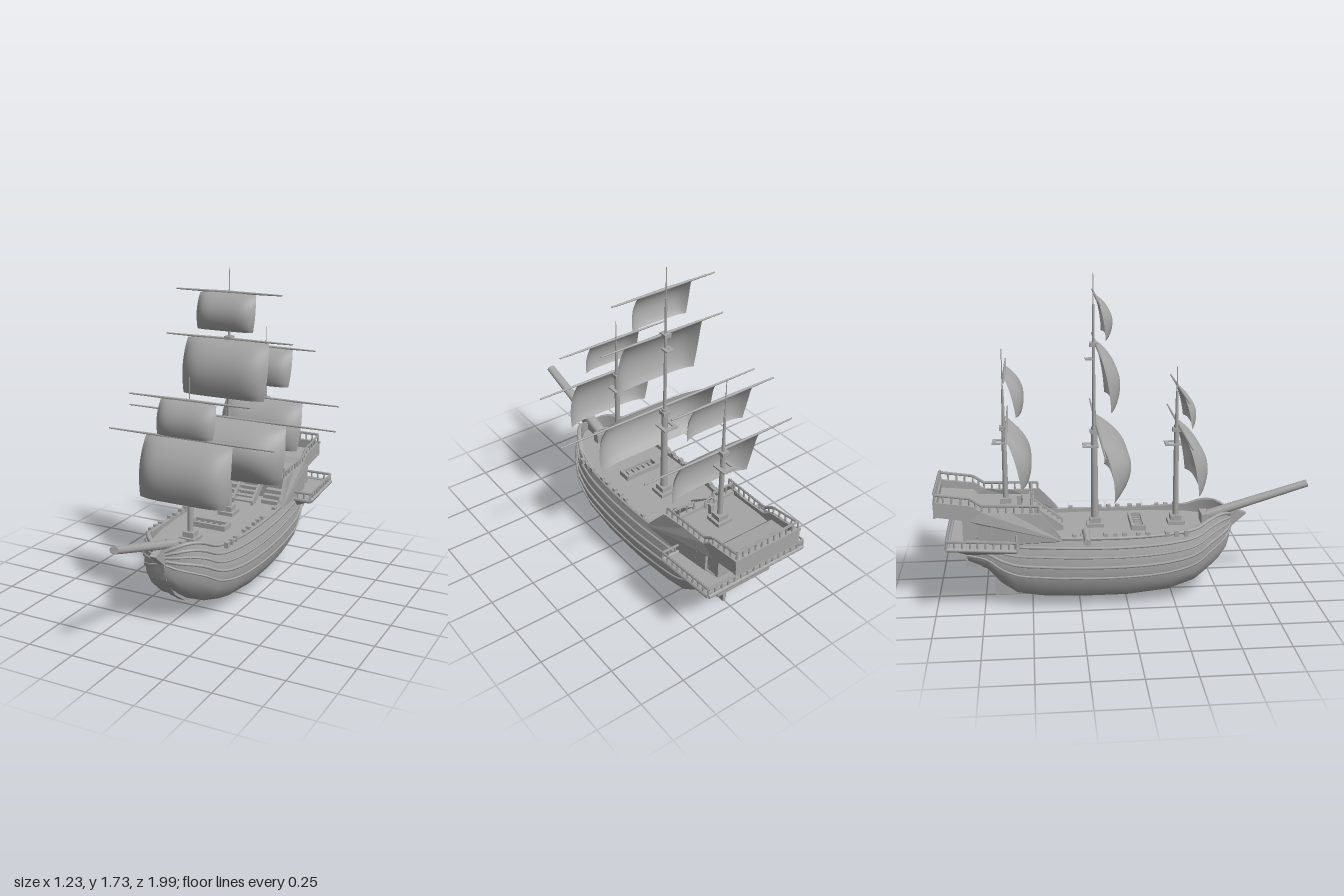
import * as THREE from 'three';
import { toCreasedNormals } from 'three/addons/utils/BufferGeometryUtils.js';

const grey = new THREE.MeshStandardMaterial({ color: 0xa6a6a6, side: THREE.DoubleSide });
grey.name = 'weathered grey';

// Hull stations from bow to stern: z, keel height, rail height, half width
const STATIONS = [
  [0.57, 0.30, 0.43, 0.02], [0.545, 0.245, 0.455, 0.08], [0.5, 0.195, 0.47, 0.135],
  [0.44, 0.15, 0.46, 0.18], [0.36, 0.095, 0.425, 0.22], [0.22, 0.052, 0.41, 0.25],
  [0, 0.032, 0.402, 0.264], [-0.25, 0.032, 0.405, 0.264], [-0.45, 0.04, 0.41, 0.25],
  [-0.58, 0.06, 0.41, 0.235], [-0.66, 0.115, 0.41, 0.22], [-0.73, 0.2, 0.41, 0.208],
  [-0.83, 0.24, 0.41, 0.195],
];
// Cross-section: fraction of half width, fraction of height
const SECTION = [[0, 0], [0.55, 0.025], [0.78, 0.11], [0.93, 0.27], [1, 0.48], [0.98, 0.7], [0.92, 0.87], [0.87, 1]];

function hullPoint(station, t, out = 0) {
  const [z, yk, yt, w] = station;
  const i = Math.max(1, SECTION.findIndex((p) => p[1] >= t));
  const [a, b] = [SECTION[i - 1], SECTION[i]];
  const f = THREE.MathUtils.lerp(a[0], b[0], (t - a[1]) / (b[1] - a[1]));
  return new THREE.Vector3(f * w + out, yk + t * (yt - yk), z);
}

function hullGeometry() {
  const pos = [], index = [];
  let n = 0;
  STATIONS.forEach(([z, yk, yt, w]) => {
    const side = SECTION.map(([a, b]) => [a * w, yk + b * (yt - yk)]);
    const inner = Math.max(0, 0.87 * w - 0.015), deck = Math.min(yt - 0.015, 0.385);
    side.push([inner, yt], [inner, deck], [0, deck]);
    const ring = [...side.slice(1).reverse().map(([x, y]) => [-x, y]), ...side];
    n = ring.length;
    ring.forEach(([x, y]) => pos.push(x, y, z));
  });
  for (let i = 0; i < STATIONS.length - 1; i++)
    for (let j = 0; j < n - 1; j++) {
      const a = i * n + j, c = a + n;
      index.push(a, c, a + 1, a + 1, c, c + 1);
    }
  const last = (STATIONS.length - 1) * n;
  for (let k = 1; k < n - 1; k++) index.push(0, k, k + 1, last, last + k + 1, last + k);
  const g = new THREE.BufferGeometry();
  g.setAttribute('position', new THREE.Float32BufferAttribute(pos, 3));
  g.setIndex(index);
  return toCreasedNormals(g, 0.6);
}

// Side profile given as [z, y], extruded across x
function profile(points, width, x = 0) {
  const shape = new THREE.Shape(points.map(([z, y]) => new THREE.Vector2(z, y)));
  const g = new THREE.ExtrudeGeometry(shape, { depth: width, bevelEnabled: false });
  return g.rotateY(-Math.PI / 2).translate(x + width / 2, 0, 0);
}

export function createModel() {
  const model = new THREE.Group();
  model.name = 'sailingShip';
  let parent = model;
  const add = (name, geo, x = 0, y = 0, z = 0) => {
    const m = new THREE.Mesh(geo, grey);
    m.name = name;
    m.position.set(x, y, z);
    parent.add(m);
    return m;
  };
  const box = (name, w, h, d, x, y, z) => add(name, new THREE.BoxGeometry(w, h, d), x, y, z);
  const rod = (name, a, b, r0, r1 = r0, sides = 8) => {
    const [p, q] = [new THREE.Vector3(...a), new THREE.Vector3(...b)];
    const m = add(name, new THREE.CylinderGeometry(r1, r0, p.distanceTo(q), sides));
    m.position.copy(p).lerp(q, 0.5);
    m.quaternion.setFromUnitVectors(new THREE.Vector3(0, 1, 0), q.sub(p).normalize());
    return m;
  };
  // Balustrade along a path of floor points
  const rail = (name, pts, h, gap = 0.04) => {
    for (let i = 0; i < pts.length - 1; i++) {
      const a = new THREE.Vector3(...pts[i]), b = new THREE.Vector3(...pts[i + 1]);
      rod(name + 'Bar', [a.x, a.y + h, a.z], [b.x, b.y + h, b.z], 0.008, 0.008, 4);
      const n = Math.max(1, Math.round(a.distanceTo(b) / gap));
      for (let k = 0; k <= n; k++) {
        const p = a.clone().lerp(b, k / n);
        rod(name + 'Post', [p.x, p.y, p.z], [p.x, p.y + h, p.z], 0.005, 0.005, 6);
      }
    }
  };

  // Hull, wales, stem, keel and rudder
  add('hull', hullGeometry());
  for (const s of [-1, 1])
    for (const [t, r] of [[0.42, 0.006], [0.58, 0.008], [0.72, 0.006], [0.85, 0.008], [0.98, 0.009]]) {
      const pts = STATIONS.map((st) => hullPoint(st, t, 0.001).multiply(new THREE.Vector3(s, 1, 1)));
      add('wale', new THREE.TubeGeometry(new THREE.CatmullRomCurve3(pts), 48, r, 6));
    }
  add('keel', profile([[0.66, 0.43], [0.58, 0.36], [0.56, 0.27], [0.47, 0.155], [0.37, 0.085], [0.23, 0.037], [0, 0.02],
    [-0.2, 0.02], [-0.58, 0.045], [-0.58, 0.08], [0, 0.06], [0.23, 0.08], [0.4, 0.16], [0.5, 0.3], [0.5, 0.46], [0.58, 0.46]], 0.035));
  add('rudder', profile([[-0.15, 0.018], [-0.7, 0.004], [-0.7, 0.125], [-0.68, 0.15], [-0.69, 0.22], [-0.72, 0.24],
    [-0.66, 0.24], [-0.6, 0.05]], 0.02));
  const sprit = rod('bowsprit', [0, 0.425, 0.45], [0, 0.585, 0.99], 0.034, 0.026, 8);
  sprit.scale.z = 0.75;
  box('bowspritBitt', 0.1, 0.06, 0.04, 0, 0.41, 0.43);

  // Raised blocks along the bulwark
  for (const s of [-1, 1])
    for (const z of [0.3, 0.25, 0.2, 0.1, 0.05, -0.02, -0.07, -0.12, -0.28])
      box('bulwarkBlock', 0.022, 0.03, 0.022, s * 0.222, 0.405, z);

  // Deck hatch and grating
  for (const s of [-1, 1]) {
    box('hatchSide', 0.016, 0.03, 0.075, s * 0.1, 0.398, 0.065);
    box('hatchEnd', 0.2, 0.03, 0.014, 0, 0.398, 0.065 + s * 0.032);
  }
  for (let i = -2; i <= 2; i++) box('hatchBar', 0.01, 0.014, 0.06, i * 0.035, 0.393, 0.065);

  // Aft castle side walls, flaring outwards towards the waist
  const wall = [[-0.34, 0.39], [-0.36, 0.425], [-0.45, 0.53], [-0.6, 0.535], [-0.75, 0.545], [-0.8, 0.58], [-0.99, 0.605],
    [-0.98, 0.525], [-0.82, 0.5], [-0.77, 0.48], [-0.77, 0.36], [-0.5, 0.36]];
  for (const s of [-1, 1]) {
    const g = profile(wall, 0.016, s * 0.192), p = g.attributes.position;
    for (let i = 0; i < p.count; i++) p.setX(i, p.getX(i) + s * 0.22 * Math.max(0, p.getZ(i) + 0.52));
    g.computeVertexNormals();
    add('castleWall', g);
    box('castleWindowSill', 0.01, 0.01, 0.12, s * 0.203, 0.425, -0.645);
    box('castleWindowLintel', 0.01, 0.01, 0.12, s * 0.203, 0.495, -0.645);
    for (const z of [-0.59, -0.645, -0.7]) box('castleWindowPost', 0.01, 0.07, 0.01, s * 0.203, 0.46, z);
  }
  add('castleBody', profile([[-0.5, 0.37], [-0.5, 0.505], [-0.78, 0.515], [-0.81, 0.545], [-0.98, 0.56],
    [-0.98, 0.525], [-0.82, 0.5], [-0.77, 0.48], [-0.77, 0.36]], 0.38));
  box('sternBoard', 0.4, 0.085, 0.016, 0, 0.563, -0.985);
  box('sternMoulding', 0.41, 0.014, 0.02, 0, 0.603, -0.985);
  box('castleFrontBeam', 0.4, 0.018, 0.025, 0, 0.512, -0.495);

  // Stairs from the waist to the quarterdeck
  for (let i = 0; i < 6; i++) box('stairTread', 0.11, 0.01, 0.03, 0, 0.4 + i * 0.02, -0.355 - i * 0.025);
  for (const s of [-1, 1])
    add('stairStringer', profile([[-0.33, 0.385], [-0.33, 0.41], [-0.5, 0.535], [-0.5, 0.485], [-0.37, 0.385]], 0.012, s * 0.06));
  for (const s of [-1, 1])
    for (let i = 0; i < 3; i++) box('sideStep', 0.1, 0.022, 0.04, s * 0.14, 0.396 + i * 0.022, -0.41 - i * 0.03);

  // Castle railings
  for (const s of [-1, 1])
    rail('castleRail', [[s * 0.2, 0.532, -0.46], [s * 0.192, 0.542, -0.75], [s * 0.192, 0.582, -0.81], [s * 0.192, 0.607, -0.985]], 0.037);
  rail('sternRail', [[-0.192, 0.607, -0.985], [0.192, 0.607, -0.985]], 0.045);
  for (const s of [-1, 1]) rail('frontRail', [[s * 0.06, 0.52, -0.495], [s * 0.195, 0.525, -0.495]], 0.045);

  // Stern gallery: a slab widening upwards, with its balustrade
  const gallery = new THREE.BoxGeometry(2, 1, 2), gp = gallery.attributes.position;
  for (let i = 0; i < gp.count; i++) {
    const top = gp.getY(i) > 0, back = gp.getZ(i) < 0;
    gp.setXYZ(i, gp.getX(i) * (top ? (back ? 0.3 : 0.315) : 0.205),
      top ? (back ? 0.39 : 0.372) : (back ? 0.32 : 0.315), back ? (top ? -0.93 : -0.83) : (top ? -0.57 : -0.62));
  }
  gallery.computeVertexNormals();
  add('sternGallery', gallery);
  const edge = [[0.2, 0.372, -0.575], [0.315, 0.372, -0.575], [0.302, 0.388, -0.925]];
  const path = [...edge, ...edge.slice().reverse().map(([x, y, z]) => [-x, y, z])];
  rail('galleryRail', path, 0.045);
  for (let i = 0; i < path.length - 1; i++) rod('galleryMoulding', path[i], path[i + 1], 0.012, 0.012, 6);
  box('transomBlock', 0.34, 0.07, 0.08, 0, 0.275, -0.8);
  // Cabin behind the gallery
  box('galleryCabin', 0.37, 0.12, 0.1, 0, 0.445, -0.8);
  box('cabinDoor', 0.07, 0.1, 0.008, 0, 0.44, -0.853);

  // Steering wheel
  add('wheelRim', new THREE.TorusGeometry(0.03, 0.005, 6, 20), 0, 0.565, -0.545);
  for (let k = 0; k < 4; k++) {
    const a = (k * Math.PI) / 4, c = 0.042 * Math.cos(a), d = 0.042 * Math.sin(a);
    rod('wheelSpoke', [-c, 0.565 - d, -0.545], [c, 0.565 + d, -0.545], 0.003, 0.003, 6);
  }
  box('wheelStand', 0.02, 0.06, 0.025, 0, 0.535, -0.56);

  // Cannon on the right side
  rod('cannonBarrel', [-0.17, 0.415, -0.22], [-0.33, 0.415, -0.22], 0.02, 0.013, 12);
  rod('cannonMuzzle', [-0.32, 0.415, -0.22], [-0.338, 0.415, -0.22], 0.018, 0.018, 12);
  box('cannonCarriage', 0.08, 0.02, 0.05, -0.2, 0.395, -0.22);

  // Masts with yards and billowing sails.
  // Each sail: top y, bottom y, half width, yard half length, bottom offset, billow
  const masts = [
    { name: 'fore', z: 0.275, base: 0.385, top: 1.24, r: 0.016, tops: [0.83],
      sails: [[0.925, 0.61, 0.26, 0.47, 0.1, 0.085], [1.125, 0.945, 0.165, 0.34, 0.06, 0.045]] },
    { name: 'main', z: -0.16, base: 0.385, top: 1.73, r: 0.02, tops: [0.83, 1.29],
      sails: [[0.935, 0.62, 0.36, 0.615, 0.09, 0.125], [1.362, 1.06, 0.25, 0.37, 0.08, 0.075], [1.607, 1.41, 0.17, 0.305, 0.05, 0.055]] },
    { name: 'mizzen', z: -0.63, base: 0.51, top: 1.35, r: 0.015, tops: [0.86],
      sails: [[0.94, 0.67, 0.25, 0.455, 0.1, 0.075], [1.24, 1.03, 0.18, 0.305, 0.075, 0.055]] },
  ];
  for (const m of masts) {
    parent = new THREE.Group();
    parent.name = m.name + 'Mast';
    model.add(parent);
    const last = m.tops[m.tops.length - 1] + 0.08;
    rod('lowerMast', [0, m.base, m.z], [0, 0.93, m.z], m.r, m.r * 0.8, 12);
    rod('upperMast', [0, 0.9, m.z], [0, last + 0.2, m.z], 0.01, 0.006, 10);
    rod('topMast', [0, last, m.z], [0, m.top, m.z], 0.005, 0.002, 8);
    box('mastStep', 0.09, 0.02, 0.09, 0, m.base + 0.01, m.z);
    box('mastCollar', 0.06, 0.035, 0.06, 0, m.base + 0.03, m.z);
    m.tops.forEach((y, i) => {
      const w = i ? 0.024 : 0.042;
      for (const s of [-1, 1]) {
        box('topPlatformSide', 0.02, 0.007, w * 2, s * (w - 0.01), y, m.z - 0.02);
        box('topPlatformEnd', w * 2, 0.007, 0.02, 0, y, m.z - 0.02 + s * (w - 0.01));
      }
      box('mastCap', 0.04, 0.02, 0.045, 0, y + 0.075, m.z);
    });
    for (const [y1, y0, hw, yard, drop, billow] of m.sails) {
      const zy = m.z + 0.014;
      for (const s of [-1, 1]) rod('yard', [0, y1, zy], [s * yard, y1, zy], 0.008, 0.004, 8);
      const g = new THREE.PlaneGeometry(2, 1, 20, 16), p = g.attributes.position;
      for (let i = 0; i < p.count; i++) {
        const u = p.getX(i), v = 0.5 - p.getY(i), belly = 1 - Math.pow(Math.abs(u), 5);
        const curve = Math.pow(Math.sin(Math.PI * Math.pow(v, 0.85)), 0.8);
        p.setXYZ(i, u * hw * (0.95 + 0.05 * Math.sin(Math.PI * v)), y1 - v * (y1 - y0) - 0.008 * (1 - v) * Math.pow(u, 4),
          zy + drop * Math.pow(v, 1.1) * (0.7 + 0.3 * belly) + billow * curve * (0.2 + 0.8 * belly));
      }
      g.computeVertexNormals();
      add('sail', g);
    }
  }
  return model;
}
